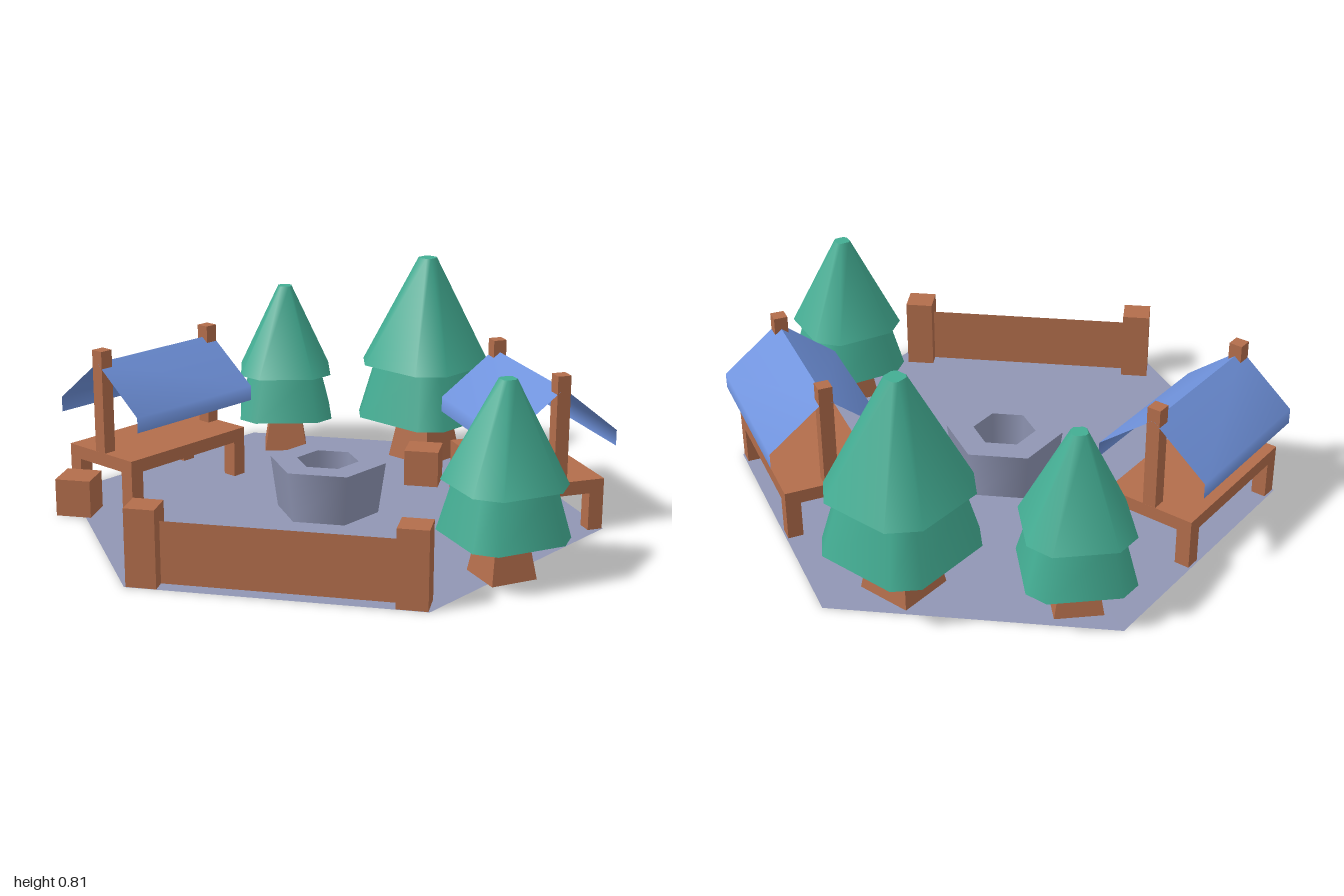
import * as THREE from 'three';

const material = (name, color) => {
  const m = new THREE.MeshStandardMaterial({ color, side: THREE.DoubleSide });
  m.name = name;
  return m;
};

export function createModel() {
  const stone = material('stone grey', 0x9096b4);
  const wood = material('wood brown', 0xb26d4b);
  const leaf = material('pine green', 0x43ad93);
  const cloth = material('awning blue', 0x6f92dc);

  const model = new THREE.Group();
  model.name = 'marketSquare';
  const deg = THREE.MathUtils.degToRad;

  const add = (parent, name, geometry, mat, x = 0, y = 0, z = 0, turn = 0) => {
    const mesh = new THREE.Mesh(geometry, mat);
    mesh.name = name;
    mesh.position.set(x, y, z);
    mesh.rotation.y = deg(turn);
    parent.add(mesh);
    return mesh;
  };
  // Box standing on height y
  const box = (parent, name, mat, w, h, d, x, y, z, turn) =>
    add(parent, name, new THREE.BoxGeometry(w, h, d), mat, x, y + h / 2, z, turn);
  const group = (name, x, z, turn = 0) => {
    const g = new THREE.Group();
    g.name = name;
    g.position.set(x, 0.001, z);
    g.rotation.y = deg(turn);
    model.add(g);
    return g;
  };

  // Hexagonal paving
  add(model, 'paving', new THREE.CircleGeometry(0.998, 6, Math.PI / 6).rotateX(-Math.PI / 2), stone, 0.027, 0, 0);

  // Hexagonal well
  const well = group('well', 0.025, 0);
  add(well, 'wellOuterWall', new THREE.CylinderGeometry(0.215, 0.188, 0.19, 6, 1, true), stone, 0, 0.095, 0);
  add(well, 'wellInnerWall', new THREE.CylinderGeometry(0.115, 0.115, 0.19, 6, 1, true), stone, 0, 0.095, 0);
  add(well, 'wellRim', new THREE.RingGeometry(0.115, 0.215, 6, 1, Math.PI / 6).rotateX(-Math.PI / 2), stone, 0, 0.19, 0);

  // One awning slope with a short hanging flap, running along z
  const awningSide = (side) => {
    const half = 0.2925;
    const profile = [[0, 0.53], [0.21, 0.362], [0.21, 0.305]];
    const points = profile.flatMap(([x, y]) => [side * x, y, half, side * x, y, -half]);
    const index = [];
    for (let i = 0; i < 4; i += 2) {
      if (side > 0) index.push(i, i + 2, i + 1, i + 1, i + 2, i + 3);
      else index.push(i, i + 1, i + 2, i + 1, i + 3, i + 2);
    }
    const g = new THREE.BufferGeometry();
    g.setAttribute('position', new THREE.Float32BufferAttribute(points, 3));
    g.setIndex(index);
    g.computeVertexNormals();
    return g;
  };

  // Market stalls: table, legs, two ridge posts, awning
  const stall = (x, z, turn) => {
    const s = group('stall', x, z, turn);
    box(s, 'tableTop', wood, 0.34, 0.05, 0.585, 0, 0.138, 0);
    for (const end of [-1, 1]) {
      for (const side of [-1, 1]) {
        box(s, 'tableLeg', wood, 0.055, 0.14, 0.055, side * 0.1425, 0, end * 0.265);
      }
      box(s, 'ridgePost', wood, 0.05, 0.39, 0.05, 0, 0.185, end * 0.267);
    }
    add(s, 'awningLeft', awningSide(1), cloth);
    add(s, 'awningRight', awningSide(-1), cloth);
  };
  stall(0.715, 0.2075, 0);
  stall(-0.493, -0.493, 120);

  // Fence panel between two posts
  const fence = group('fence', -0.3785, 0.704, -30);
  for (const end of [-1, 1]) {
    box(fence, 'fencePost', wood, 0.104, 0.27, 0.104, end * 0.4425, 0, 0);
  }
  add(fence, 'fencePanel', new THREE.PlaneGeometry(0.885, 0.216), wood, 0, 0.108, 0);

  // Loose crates
  const crates = group('crates', 0, 0);
  for (const [x, z] of [[-0.845, -0.262], [0.475, -0.183]]) {
    box(crates, 'crate', wood, 0.13, 0.138, 0.13, x, 0, z, -30);
  }

  // Eight-sided tier, its corners pushed out towards a chamfered square
  const tier = (top, bottom, height, push) => {
    const g = new THREE.CylinderGeometry(top / 0.924, bottom / 0.924, height, 8).rotateY(Math.PI / 8);
    const p = g.attributes.position;
    for (let i = 0; i < p.count; i++) {
      const x = p.getX(i), z = p.getZ(i);
      if (Math.abs(x) < Math.abs(z)) p.setX(i, x * push);
      else p.setZ(i, z * push);
    }
    return g;
  };

  // Pine trees
  const tree = (x, z, turn, size) => {
    const t = group('pineTree', x, z, turn);
    t.scale.setScalar(size);
    const trunk = new THREE.CylinderGeometry(0.06 * Math.SQRT2, 0.084 * Math.SQRT2, 0.15, 4)
      .rotateY(Math.PI / 4).toNonIndexed();
    trunk.computeVertexNormals();
    add(t, 'trunk', trunk, wood, 0, 0.075, 0);
    add(t, 'lowerBranches', tier(0.14, 0.184, 0.18, 1.62), leaf, 0, 0.235, 0);
    add(t, 'upperBranches', tier(0.026, 0.18, 0.347, 1.45), leaf, 0, 0.4975, 0);
  };
  tree(0.108, -0.798, -16, 1);
  tree(0.6, -0.485, 28, 1.213);
  tree(0.368, 0.784, 6, 1);

  return model;
}
